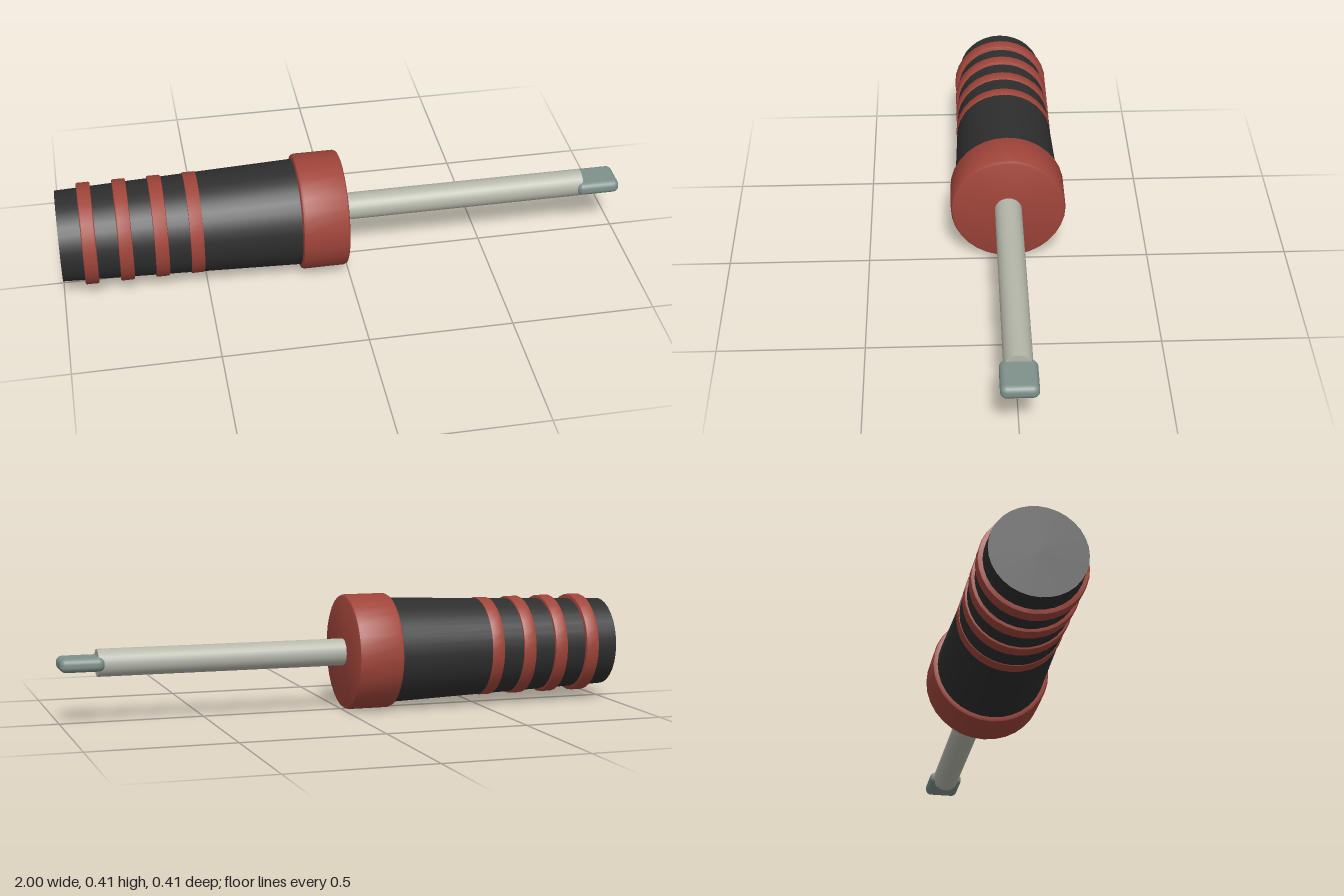
import * as THREE from 'three';
import { toCreasedNormals } from 'three/addons/utils/BufferGeometryUtils.js';
import { RoundedBoxGeometry } from 'three/addons/geometries/RoundedBoxGeometry.js';

const AXIS_Y = 0.206;

function material(name, color) {
  const m = new THREE.MeshStandardMaterial({ color });
  m.name = name;
  return m;
}

// Solid of revolution about the x axis from [x, radius] pairs
function turned(profile, segments) {
  const points = profile.map(([x, r]) => new THREE.Vector2(r, x));
  const geometry = new THREE.LatheGeometry(points, segments).rotateZ(-Math.PI / 2);
  return toCreasedNormals(geometry, 0.6);
}

// Closed disc-like profile with bevelled rims
function band(x0, x1, radius, bevel) {
  const b = bevel * 0.3;
  return [
    [x0, 0], [x0, radius - bevel], [x0 + b, radius - b], [x0 + bevel, radius],
    [x1 - bevel, radius], [x1 - b, radius - b], [x1, radius - bevel], [x1, 0],
  ];
}

export function createModel() {
  const red = material('red grip', 0xa0453a);
  const black = material('black rubber', 0x2e2e2e);
  const steel = material('pale steel', 0xb6b7aa);
  const tipSteel = material('grey tip steel', 0x7f908b);

  const group = new THREE.Group();
  group.name = 'screwdriver';
  const add = (name, geometry, mat) => {
    const mesh = new THREE.Mesh(geometry, mat);
    mesh.name = name;
    mesh.position.y = AXIS_Y;
    group.add(mesh);
    return mesh;
  };

  // Tapered handle
  add('handle', turned([[-1, 0], [-1, 0.158], [-0.16, 0.187], [-0.16, 0]], 32), black);

  // Four grip rings
  for (let i = 0; i < 4; i++) {
    const x = -0.9 + i * 0.122;
    add(`gripRing${i + 1}`, turned(band(x - 0.024, x + 0.024, 0.177, 0.005), 32), red);
  }

  // Collar at the front of the handle
  add('collar', turned(band(-0.172, -0.008, 0.204, 0.012), 32), red);

  // Shaft and flat blade
  add('shaft', turned([[-0.02, 0], [-0.02, 0.048], [0.868, 0.048], [0.868, 0]], 24), steel);
  const tip = add('bladeTip', new RoundedBoxGeometry(0.152, 0.048, 0.124, 4, 0.021), tipSteel);
  tip.position.x = 0.924;

  return group;
}
